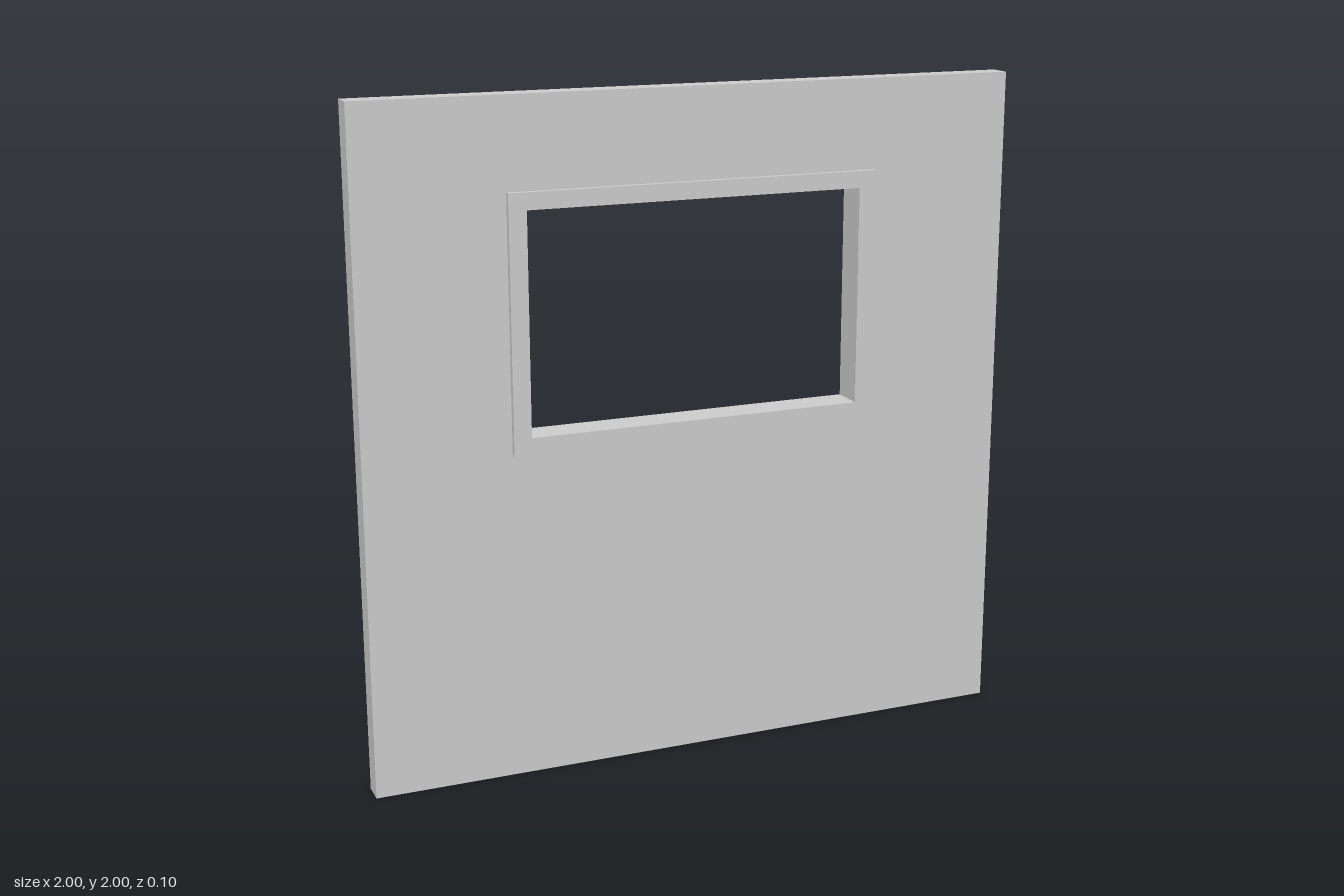
import * as THREE from 'three';

const material = new THREE.MeshStandardMaterial({ color: 0xcccccc });

// Rectangle outline, given as centre x = 0, half width, bottom and top
function rectangle(target, halfWidth, bottom, top) {
  target.moveTo(-halfWidth, bottom);
  target.lineTo(halfWidth, bottom);
  target.lineTo(halfWidth, top);
  target.lineTo(-halfWidth, top);
  target.closePath();
  return target;
}

// Flat panel with a rectangular opening, centred on z = 0
function openPanel(name, outer, inner, depth) {
  const shape = rectangle(new THREE.Shape(), ...outer);
  shape.holes.push(rectangle(new THREE.Path(), ...inner));
  const geometry = new THREE.ExtrudeGeometry(shape, { depth, bevelEnabled: false });
  geometry.translate(0, 0, -depth / 2);
  const mesh = new THREE.Mesh(geometry, material);
  mesh.name = name;
  return mesh;
}

export function createModel() {
  const model = new THREE.Group();
  model.name = 'wallWithWindow';

  const frameOuter = [0.564, 0.983, 1.733];
  const frameInner = [0.511, 1.033, 1.683];

  // Wall panel, cut out to receive the frame
  model.add(openPanel('wall', [1, 0, 2], frameOuter, 0.07));
  // Window frame, standing slightly proud of both wall faces
  model.add(openPanel('windowFrame', frameOuter, frameInner, 0.102));

  return model;
}
